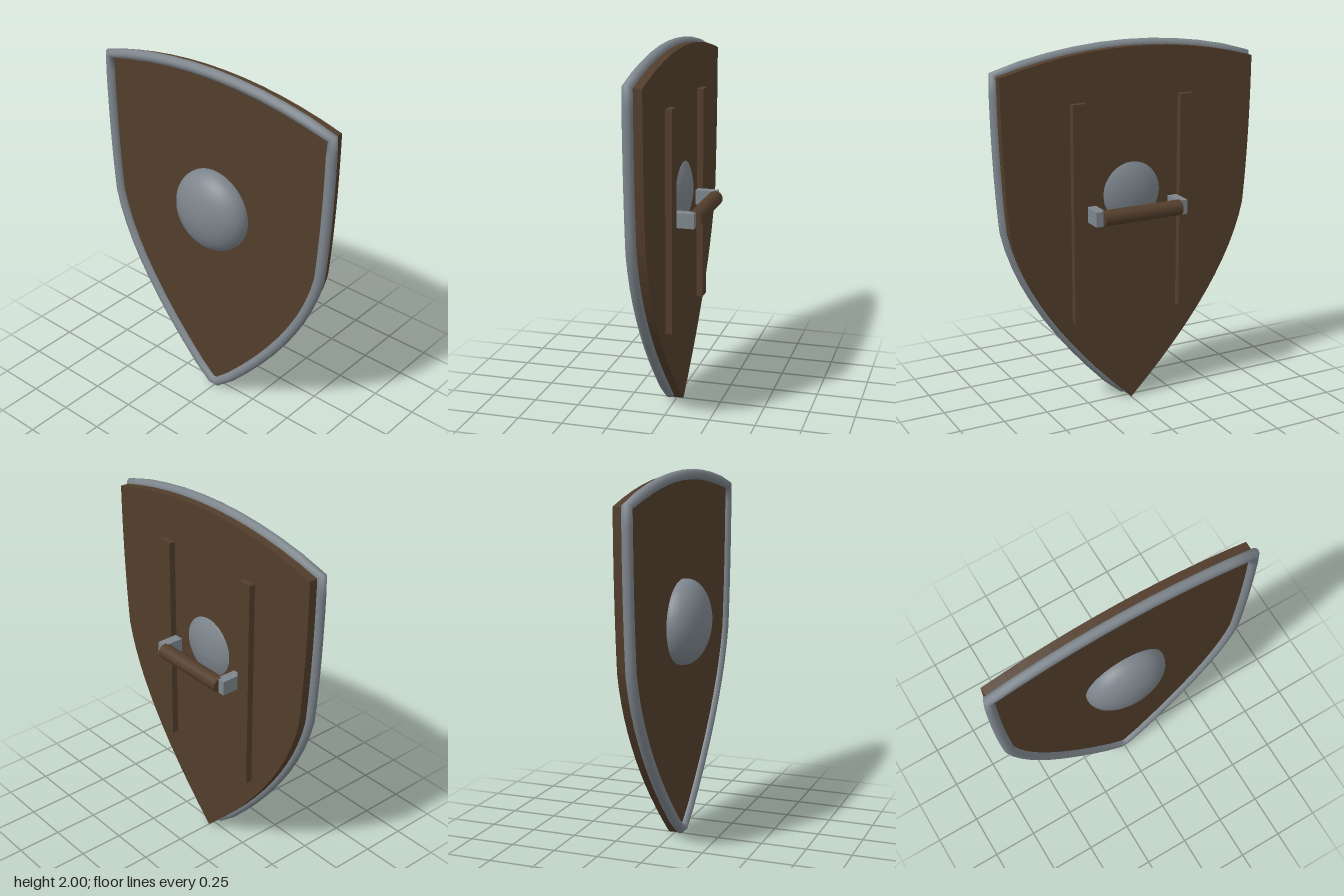
import * as THREE from 'three';

const wood = new THREE.MeshStandardMaterial({ color: 0x523d2b });
wood.name = 'brown wood';
const steel = new THREE.MeshStandardMaterial({ color: 0x7d858c });
steel.name = 'grey steel';

// Heater outline, counter-clockwise from the bottom tip
function outline() {
  const s = new THREE.Shape();
  s.moveTo(0, 0.005);
  s.quadraticCurveTo(0.6, 0.58, 0.7, 1.05);
  s.quadraticCurveTo(0.735, 1.42, 0.735, 1.87);
  s.quadraticCurveTo(0, 2.075, -0.735, 1.87);
  s.quadraticCurveTo(-0.735, 1.42, -0.7, 1.05);
  s.quadraticCurveTo(-0.6, 0.58, 0, 0.005);
  return s;
}

// Closed round bar swept along a flat loop of points
function sweepLoop(pts, radius, z, sides) {
  const pos = [], index = [], n = pts.length;
  for (let i = 0; i < n; i++) {
    const p = pts[i];
    const a = p.clone().sub(pts[(i + n - 1) % n]).normalize();
    const b = pts[(i + 1) % n].clone().sub(p).normalize();
    const t = a.add(b).normalize();
    for (let j = 0; j < sides; j++) {
      const ang = (j / sides) * Math.PI * 2;
      const c = radius * Math.cos(ang);
      pos.push(p.x + t.y * c, p.y - t.x * c, z + radius * Math.sin(ang));
      const i2 = (i + 1) % n, j2 = (j + 1) % sides;
      const q = [i * sides + j, i2 * sides + j, i2 * sides + j2, i * sides + j2];
      index.push(q[0], q[1], q[2], q[0], q[2], q[3]);
    }
  }
  const g = new THREE.BufferGeometry();
  g.setAttribute('position', new THREE.Float32BufferAttribute(pos, 3));
  g.setIndex(index);
  g.computeVertexNormals();
  return g;
}

export function createModel() {
  const group = new THREE.Group();
  const add = (name, geometry, material, x = 0, y = 0, z = 0) => {
    const m = new THREE.Mesh(geometry, material);
    m.name = name;
    m.position.set(x, y, z);
    group.add(m);
    return m;
  };
  const shape = outline();

  // Wooden board
  add('board', new THREE.ExtrudeGeometry(shape, { depth: 0.075, bevelEnabled: false, curveSegments: 12 }),
    wood, 0, 0, -0.037);

  // Steel rim, blunted at the bottom tip
  const path = shape.getPoints(10).slice(1, -1);
  path.unshift(new THREE.Vector2(0.02, 0.038));
  path.push(new THREE.Vector2(-0.02, 0.038));
  add('rim', sweepLoop(path, 0.028, 0.037, 12), steel);

  // Domed boss, passing through the board
  const boss = add('boss', new THREE.SphereGeometry(0.232, 32, 24), steel, 0, 1.195, 0.055);
  boss.scale.z = 0.572;

  // Back battens and grip brackets, mirrored
  for (const [side, s] of [['left', 1], ['right', -1]]) {
    add(side + 'Batten', new THREE.BoxGeometry(0.08, 1.19, 0.038), wood, s * 0.315, 1.11, -0.054);
    add(side + 'GripBracket', new THREE.BoxGeometry(0.055, 0.08, 0.12), steel, s * 0.243, 1.11, -0.105);
  }

  // Round hand grip
  const grip = add('grip', new THREE.CylinderGeometry(0.042, 0.042, 0.46, 16), wood, 0, 1.11, -0.154);
  grip.rotation.z = Math.PI / 2;

  return group;
}
